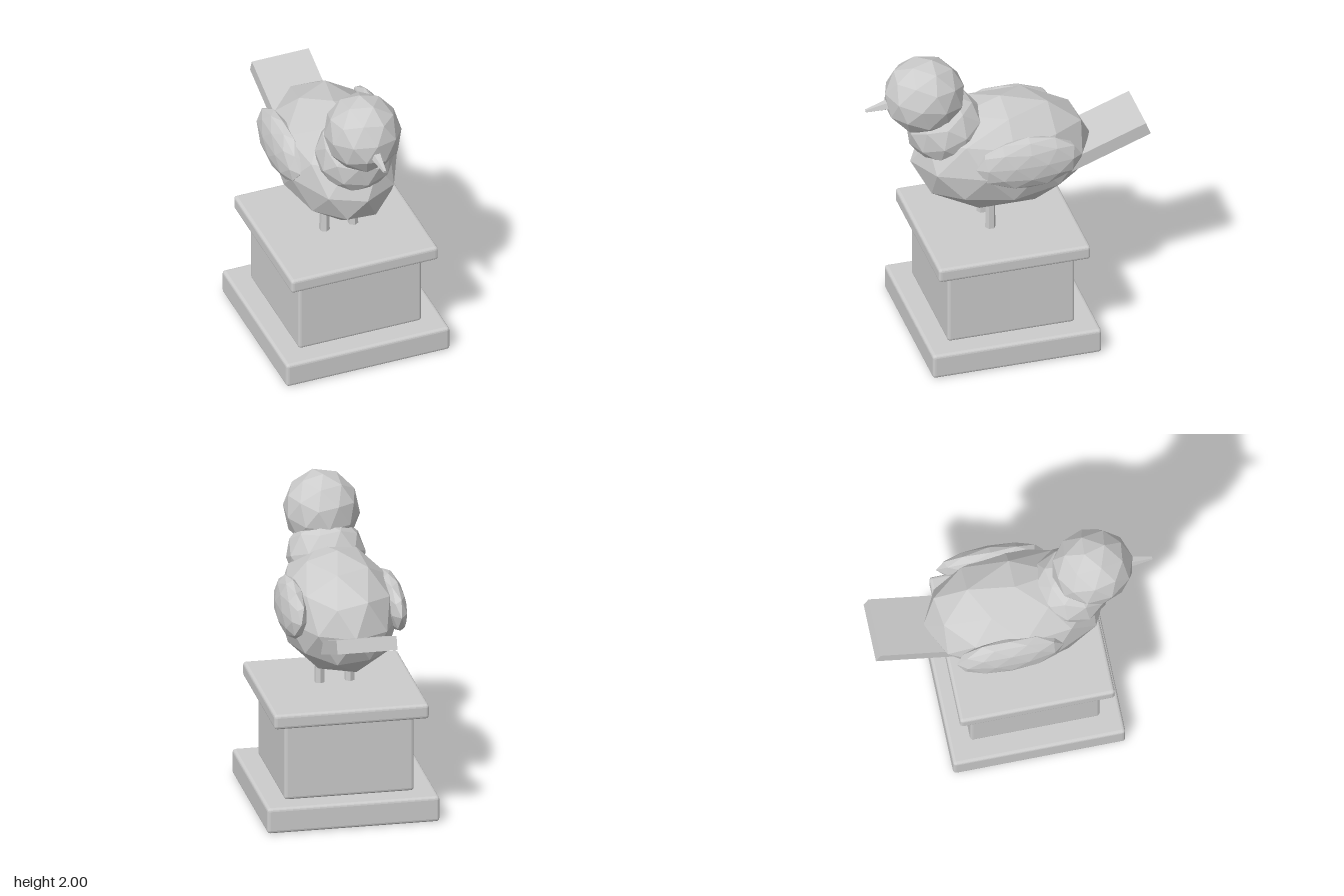
import * as THREE from 'three';
import { RoundedBoxGeometry } from 'three/addons/geometries/RoundedBoxGeometry.js';

export function createModel() {
  const group = new THREE.Group();
  group.name = 'birdOnPedestal';
  const stone = new THREE.MeshStandardMaterial({ color: 0xcccccc, flatShading: true });
  stone.name = 'pale grey stone';

  const add = (name, geometry, x, y, z, rx = 0) => {
    const mesh = new THREE.Mesh(geometry, stone);
    mesh.name = name;
    mesh.position.set(x, y, z);
    mesh.rotation.x = rx;
    group.add(mesh);
    return mesh;
  };

  // Faceted ellipsoid with a five-fold corner at the top and bottom
  const ellipsoid = (rx, ry, rz) => {
    const g = new THREE.IcosahedronGeometry(1, 1);
    g.rotateX(-Math.atan((1 + Math.sqrt(5)) / 2));
    g.rotateY(Math.PI / 2);
    return g.scale(rx, ry, rz);
  };

  // Pedestal: [name, width, bottom, top]
  for (const [name, width, bottom, top] of [
    ['pedestalFoot', 1.09, 0, 0.165],
    ['pedestalBlock', 0.82, 0.165, 0.662],
    ['pedestalCap', 0.98, 0.665, 0.76],
  ]) {
    add(name, new RoundedBoxGeometry(width, top - bottom, width, 2, 0.02), 0, (bottom + top) / 2, 0.07);
  }

  // Body, neck and head
  add('body', ellipsoid(0.37, 0.38, 0.58), 0, 1.275, 0.025);
  add('neck', ellipsoid(0.25, 0.245, 0.25), 0, 1.5, 0.38, 0.4);
  add('head', ellipsoid(0.24, 0.252, 0.258), 0, 1.75, 0.515, -0.2);

  // Beak, a blunt five-sided cone pointing forward and slightly down
  add('beak', new THREE.CylinderGeometry(0.011, 0.045, 0.2, 5), 0, 1.712, 0.793, Math.PI / 2 + 0.14);

  // Tail, a slab rising to the back
  add('tail', new THREE.BoxGeometry(0.38, 0.087, 0.6), 0, 1.258, -0.597, 0.358);

  // Wings and legs on both sides
  for (const [side, s] of [['left', 1], ['right', -1]]) {
    const wing = add(side + 'Wing', ellipsoid(0.08, 0.175, 0.34), s * 0.318, 1.342, -0.07);
    wing.rotation.z = s * 0.1;
    add(side + 'Leg', new THREE.CylinderGeometry(0.027, 0.034, 0.3, 6), s * 0.095, 0.89, 0.115);
  }
  return group;
}
